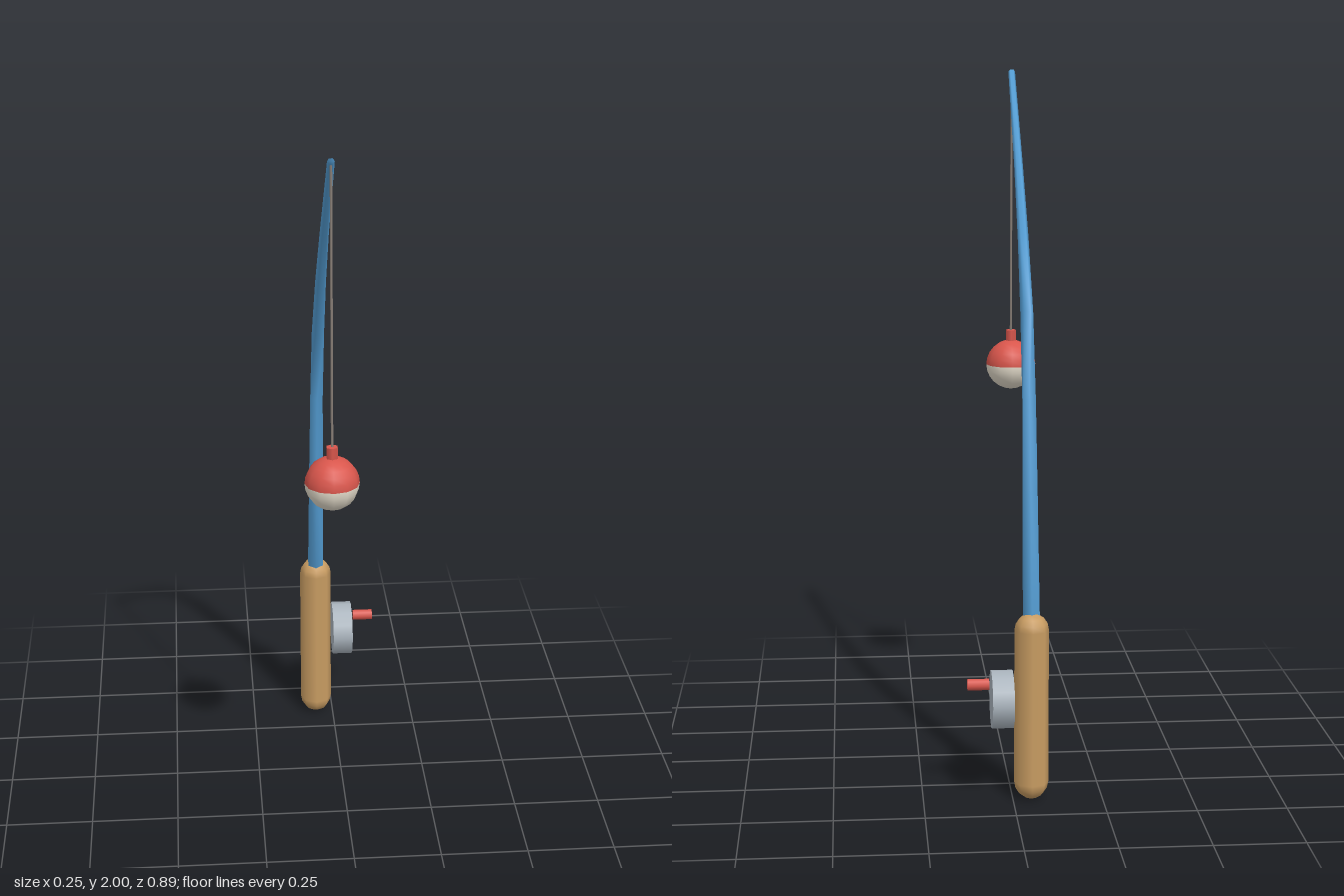
import * as THREE from 'three';

const X = -0.052; // plane of the rod
const HANDLE_Z = -0.366;

const paint = (color, side = THREE.FrontSide) => new THREE.MeshStandardMaterial({ color, side });
const wood = paint(0xc89c62), blue = paint(0x559fd6), steel = paint(0xaab4bd);
const red = paint(0xd9564c), cream = paint(0xe4dccb), twine = paint(0x8a8078);

function add(group, name, geometry, material, x, y, z) {
  const mesh = new THREE.Mesh(geometry, material);
  mesh.name = name;
  mesh.position.set(x, y, z);
  group.add(mesh);
  return mesh;
}

// Tapered six-sided tube through the bent rod; its frame turns a quarter where it starts to lean
function rodGeometry() {
  const path = [
    [0.5, -0.359], [0.867, -0.303], [1.116, -0.268], [1.344, -0.19],
    [1.54, -0.066], [1.725, 0.088], [1.993, 0.345],
  ].map(([y, z]) => new THREE.Vector3(0, y, z));
  const sides = 6, last = path.length - 1;
  const side = new THREE.Vector3(1, 0, 0);
  const positions = [], index = [];
  path.forEach((p, i) => {
    const tangent = path[Math.min(i + 1, last)].clone().sub(path[Math.max(i - 1, 0)]).normalize();
    const across = side.clone().cross(tangent); // points forward
    const [u, v] = i < 3 ? [across, side] : [side, across.clone().negate()];
    const r = THREE.MathUtils.lerp(0.026, 0.01, i / last);
    for (let k = 0; k < sides; k++) {
      const a = (k / sides) * Math.PI * 2;
      const q = p.clone().addScaledVector(u, r * Math.cos(a)).addScaledVector(v, r * Math.sin(a));
      positions.push(q.x, q.y, q.z);
      if (i < last) {
        const a0 = i * sides + k, b0 = i * sides + (k + 1) % sides;
        index.push(a0, b0, a0 + sides, b0, b0 + sides, a0 + sides);
      }
    }
  });
  // close both ends
  for (let k = 1; k < sides - 1; k++) {
    const t = last * sides;
    index.push(0, k + 1, k, t, t + k, t + k + 1);
  }
  const geometry = new THREE.BufferGeometry();
  geometry.setAttribute('position', new THREE.Float32BufferAttribute(positions, 3));
  geometry.setIndex(index);
  geometry.computeVertexNormals();
  return geometry;
}

export function createModel() {
  const model = new THREE.Group();
  model.name = 'fishingRod';

  // Rounded grip and bent rod
  const r = 0.048, h = 0.535;
  add(model, 'handle', new THREE.CapsuleGeometry(r, h - 2 * r, 4, 8), wood, X, h / 2, HANDLE_Z);
  add(model, 'rod', rodGeometry(), blue, X, 0, 0);

  // Reel and its knob, both turning about x
  const reel = new THREE.Group();
  reel.name = 'reel';
  model.add(reel);
  add(reel, 'reelDrum', new THREE.CylinderGeometry(0.082, 0.082, 0.06, 12), steel, 0.03, 0.29, HANDLE_Z)
    .rotation.z = -Math.PI / 2;
  add(reel, 'reelKnob', new THREE.CylinderGeometry(0.0165, 0.0165, 0.06, 8), red, 0.096, 0.333, HANDLE_Z)
    .rotation.z = -Math.PI / 2;

  // Line from the rod tip to the float
  const tip = new THREE.Vector3(X, 1.99, 0.345), end = new THREE.Vector3(X, 1.2, 0.37);
  const span = end.clone().sub(tip);
  const mid = tip.clone().add(end).multiplyScalar(0.5);
  const line = add(model, 'line', new THREE.CylinderGeometry(0.0035, 0.0035, span.length(), 5), twine, mid.x, mid.y, mid.z);
  line.quaternion.setFromUnitVectors(new THREE.Vector3(0, -1, 0), span.normalize());

  // Two-coloured float with a short stem
  const float = new THREE.Group();
  float.name = 'float';
  float.position.set(X, 1.113, 0.37);
  model.add(float);
  const half = (start) => new THREE.SphereGeometry(0.075, 12, 6, 0, Math.PI * 2, start, Math.PI / 2);
  add(float, 'floatTop', half(0), red, 0, 0, 0);
  add(float, 'floatBottom', half(Math.PI / 2), cream, 0, 0, 0);
  add(float, 'floatStem', new THREE.CylinderGeometry(0.017, 0.017, 0.05, 6), red, 0, 0.08, 0);

  return model;
}
